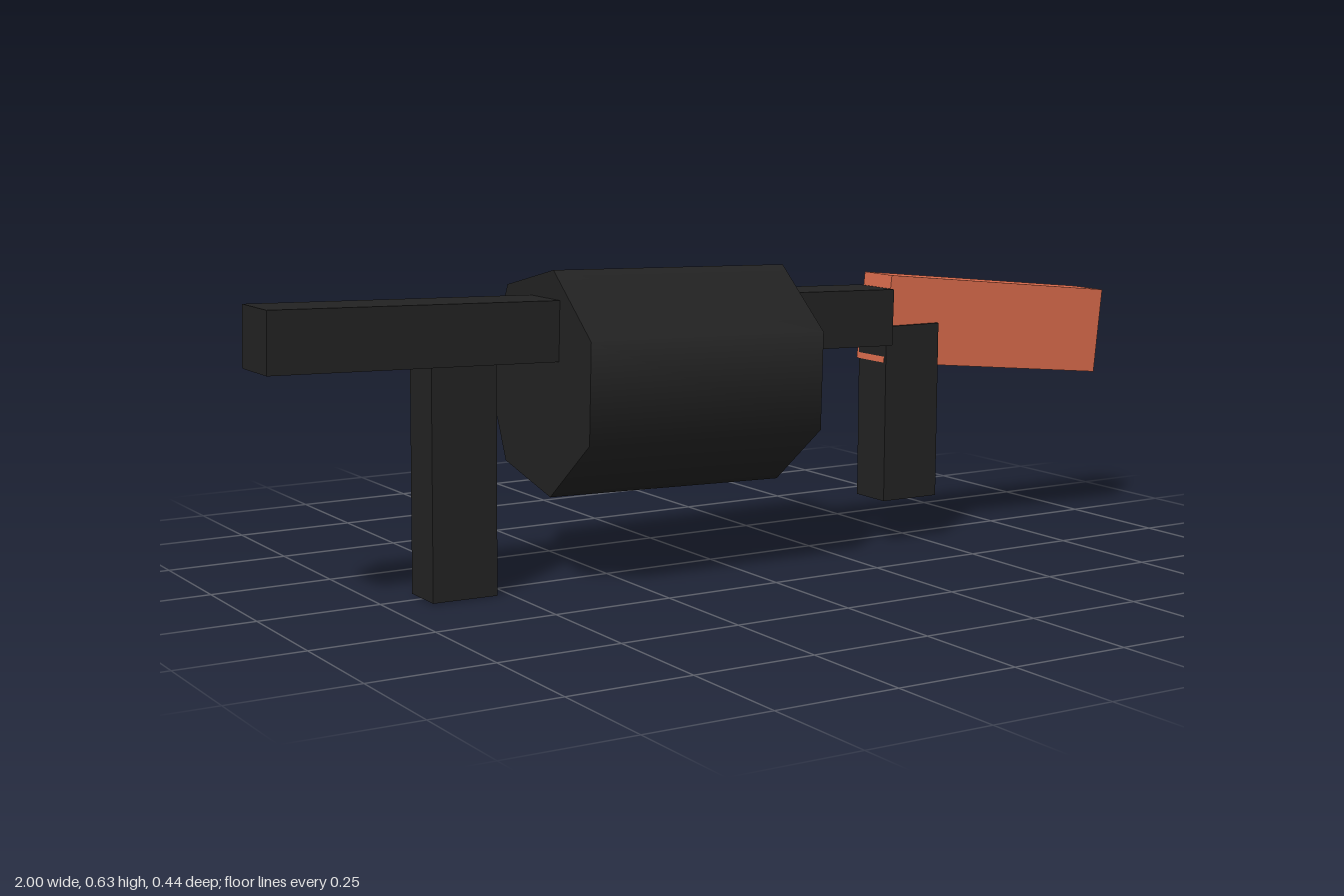
import * as THREE from 'three';

export function createModel() {
  const group = new THREE.Group();
  group.name = 'drumLauncher';
  const dark = new THREE.MeshStandardMaterial({ color: 0x222222 });
  const orange = new THREE.MeshStandardMaterial({ color: 0xdb6b4c });

  const add = (name, geometry, material, position, tilt) => {
    const mesh = new THREE.Mesh(geometry, material);
    mesh.name = name;
    mesh.position.set(...position);
    mesh.rotation.z = tilt;
    group.add(mesh);
  };
  const box = (name, size, position, tilt, material = dark) =>
    add(name, new THREE.BoxGeometry(...size), material, position, tilt);

  // Long square barrel, sloping slightly down towards the stock
  box('barrel', [1.4, 0.12, 0.123], [-0.3, 0.515, 0.031], -0.028);

  // Seven-sided drum lying along x, with a corner towards the back
  const drum = new THREE.CylinderGeometry(0.23, 0.23, 0.535, 7, 1, false, Math.PI);
  drum.rotateZ(-Math.PI / 2);
  add('drum', drum, dark, [-0.138, 0.403, 0.013], -0.028);

  // Two grips below the barrel
  box('foreGrip', [0.138, 0.474, 0.097], [-0.592, 0.238, 0.0065], -0.012);
  box('rearGrip', [0.139, 0.378, 0.098], [0.459, 0.286, 0.032], -0.005);

  // Shoulder stock
  box('stock', [0.594, 0.187, 0.098], [0.694, 0.459, 0.025], -0.106, orange);

  return group;
}
